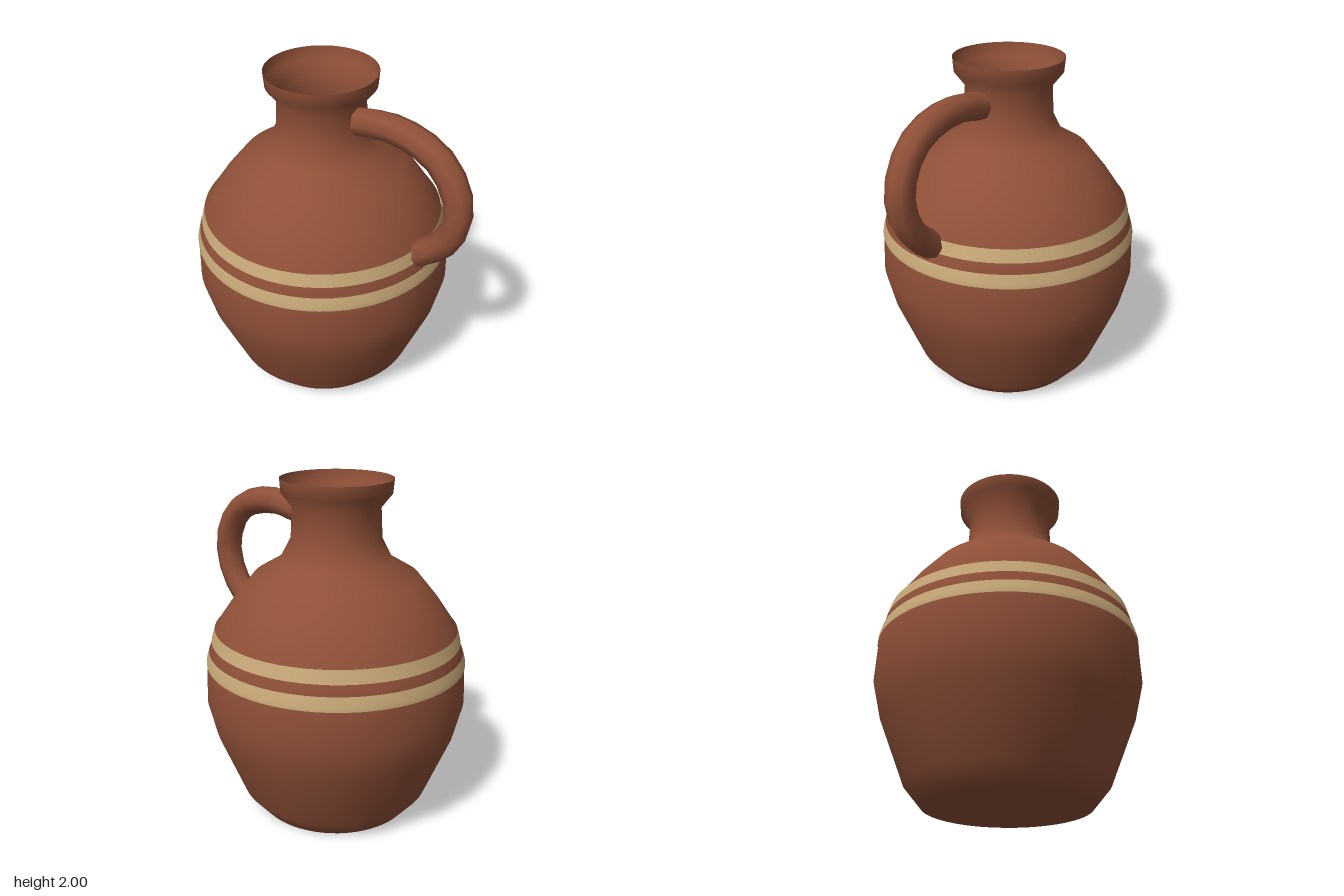
import * as THREE from 'three';

const AXIS_X = -0.125; // jug axis, offset so that jug and handle together are centred

// outer profile as [radius, height], base to lip
const PROFILE = [
  [0, 0], [0.475, 0], [0.575, 0.12], [0.727, 0.5], [0.775, 0.7], [0.764, 0.95],
  [0.71, 1.14], [0.6, 1.3], [0.477, 1.45], [0.325, 1.54], [0.262, 1.66],
  [0.252, 1.84], [0.315, 1.92], [0.322, 2],
];

function radiusAt(y) {
  const i = PROFILE.findIndex((p, k) => k > 1 && p[1] >= y);
  const [r0, y0] = PROFILE[i - 1], [r1, y1] = PROFILE[i];
  return r0 + (r1 - r0) * (y - y0) / (y1 - y0);
}

function lathe(name, points, material) {
  const pts = points.map(([r, y]) => new THREE.Vector2(r, y));
  const mesh = new THREE.Mesh(new THREE.LatheGeometry(pts, 64), material);
  mesh.name = name;
  mesh.position.x = AXIS_X;
  return mesh;
}

export function createModel() {
  const clay = new THREE.MeshStandardMaterial({ color: 0x8f5038, side: THREE.DoubleSide });
  clay.name = 'clay';
  const sand = new THREE.MeshStandardMaterial({ color: 0xc8a878, side: THREE.DoubleSide });
  sand.name = 'sand';

  const jug = new THREE.Group();
  jug.name = 'jug';

  // thin-walled body, open at the top
  jug.add(lathe('body', PROFILE, clay));

  // painted bands hugging the body
  const bands = { lowerBand: [0.925, 0.95, 1.005], upperBand: [1.065, 1.1, 1.14] };
  for (const [name, heights] of Object.entries(bands)) {
    jug.add(lathe(name, heights.map((y) => [radiusAt(y) + 0.004, y]), sand));
  }

  // handle from neck to shoulder
  const handle = new THREE.Group();
  handle.name = 'handle';
  const path = new THREE.CatmullRomCurve3([
    [0.148, 1.773], [0.35, 1.808], [0.53, 1.79], [0.67, 1.732], [0.765, 1.63],
    [0.815, 1.5], [0.812, 1.4], [0.775, 1.285], [0.69, 1.175], [0.585, 1.09],
  ].map(([x, y]) => new THREE.Vector3(x, y, 0)));
  const grip = new THREE.Mesh(new THREE.TubeGeometry(path, 12, 0.081, 8), clay);
  grip.name = 'handleGrip';
  handle.add(grip);

  // flat ends of the handle
  for (const [t, sign] of [[0, -1], [1, 1]]) {
    const cap = new THREE.Mesh(new THREE.CircleGeometry(0.081, 8), clay);
    cap.name = t ? 'handleLowerEnd' : 'handleUpperEnd';
    const end = path.getPointAt(t);
    cap.position.copy(end);
    cap.lookAt(end.clone().addScaledVector(path.getTangentAt(t), sign));
    handle.add(cap);
  }
  jug.add(handle);
  return jug;
}
